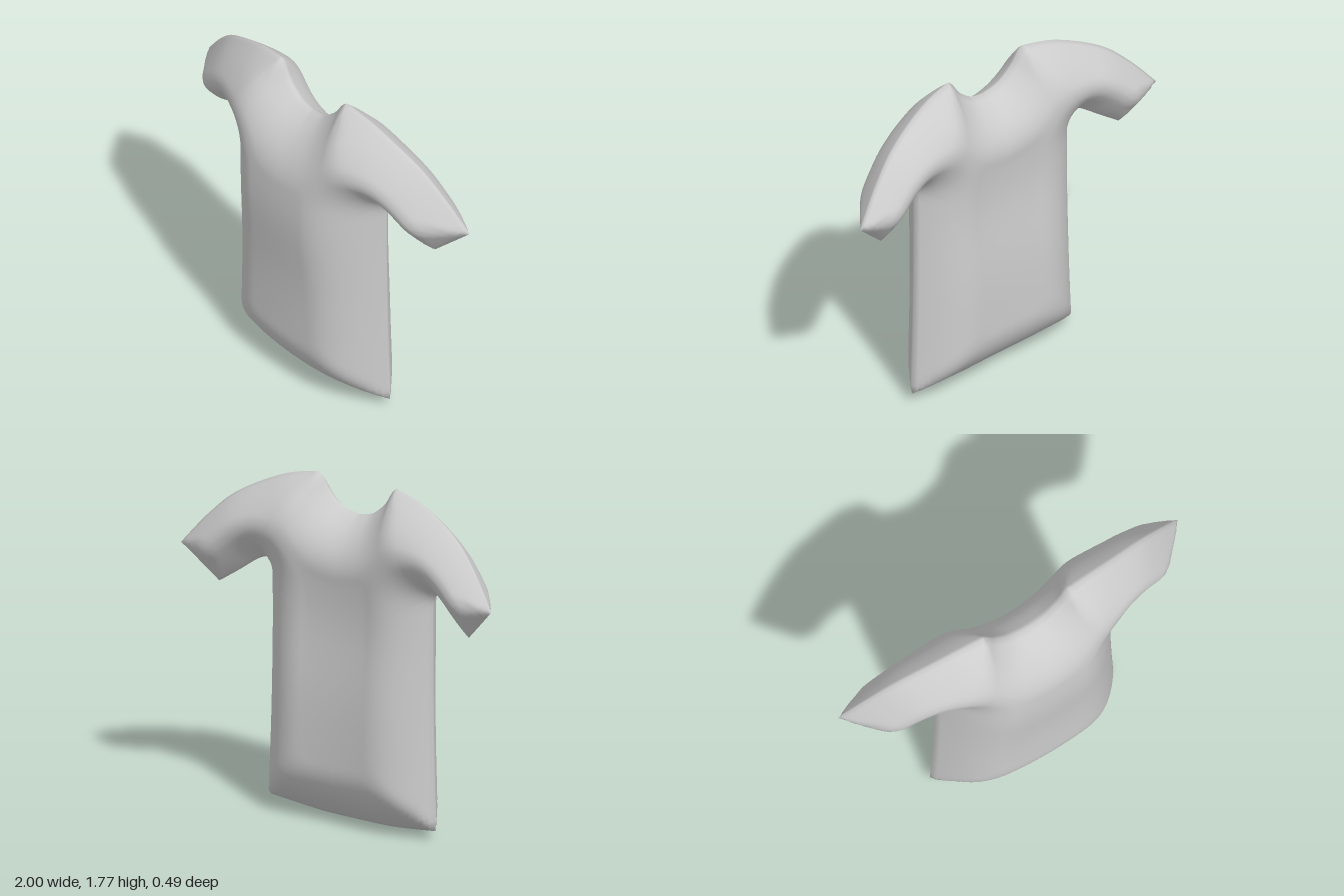
import * as THREE from 'three';
import { mergeVertices } from 'three/addons/utils/BufferGeometryUtils.js';

const NU = 28, SIDE = 50, ARM = 26, SLEEVE = 28;

// Smooth run of n steps through a few outline points
const run = (pts, n) =>
  new THREE.SplineCurve(pts.map(([x, y]) => new THREE.Vector2(x, y))).getSpacedPoints(n);

// Outline of the left half, x >= 0
const armpit = [0.55, 1.28], peak = [0.25, 1.77], cuffTop = [1, 1.3], cuffLow = [0.805, 1.12];
const hem = run([[0, 0], [0.2, 0.005], [0.38, 0.025], [0.54, 0.05]], NU);
const side = run([[0.54, 0.05], [0.525, 0.45], [0.517, 0.85], [0.517, 1.15], [0.523, 1.245], armpit], SIDE);
const seam = run([armpit, peak], ARM);
const neck = run([[0, 1.59], [0.09, 1.61], [0.17, 1.67], [0.22, 1.74], peak], NU);
const shoulder = run([peak, [0.45, 1.725], [0.7, 1.605], [0.86, 1.465], cuffTop], SLEEVE);
const underarm = run([armpit, [0.6, 1.26], [0.7, 1.19], cuffLow], SLEEVE);
const cuff = run([cuffLow, cuffTop], ARM);
const outline = [hem, side, neck, shoulder, underarm, cuff];

// Distance from a point to the outline
function distance(x, y) {
  x = Math.abs(x);
  let best = Infinity;
  for (const line of outline) {
    for (let i = 1; i < line.length; i++) {
      const a = line[i - 1], dx = line[i].x - a.x, dy = line[i].y - a.y;
      const t = THREE.MathUtils.clamp(((x - a.x) * dx + (y - a.y) * dy) / (dx * dx + dy * dy), 0, 1);
      best = Math.min(best, Math.hypot(x - a.x - t * dx, y - a.y - t * dy));
    }
  }
  return best;
}

// Distance averaged over a small circle, to soften the ridges
function softDistance(x, y) {
  const d = distance(x, y);
  if (d < 1e-5) return 0;
  const r = 0.6 * Math.min(d, 0.08);
  let sum = d;
  for (let k = 0; k < 8; k++) {
    sum += distance(x + r * Math.cos(k * Math.PI / 4), y + r * Math.sin(k * Math.PI / 4));
  }
  return sum / 9;
}

// Puffed thickness and the backward sweep of the sleeves
function inflate(p) {
  const s = Math.min(softDistance(p.x, p.y) / 0.32, 1);
  const half = 0.215 * (1 - Math.pow(1 - s, 2.2));
  const chest = 0.035 * Math.exp(-(((p.y - 1.1) / 0.35) ** 2)) * s;
  return { x: p.x, y: p.y, mid: chest - 0.18 * p.x * p.x, half };
}

// Torso grid, blended between hem, side, neckline and centre line
function torsoGrid() {
  const right = [...side, ...seam.slice(1)], n = right.length - 1;
  const mix = (u, v, key) => {
    const c0 = hem[0][key], c1 = neck[0][key], e0 = hem[NU][key], e1 = neck[NU][key];
    const i = Math.round(u * NU), j = Math.round(v * n);
    return (1 - v) * hem[i][key] + v * neck[i][key]
      + (1 - u) * (c0 + (c1 - c0) * v) + u * right[j][key]
      - (1 - u) * ((1 - v) * c0 + v * c1) - u * ((1 - v) * e0 + v * e1);
  };
  return right.map((_, j) => hem.map((_, i) =>
    inflate({ x: mix(i / NU, j / n, 'x'), y: mix(i / NU, j / n, 'y') })));
}

// Sleeve grid, ruled from the underarm to the shoulder line
function sleeveGrid() {
  return seam.map((_, j) => underarm.map((p, i) =>
    inflate(p.clone().lerp(shoulder[i], j / ARM))));
}

// Front and back faces on both halves, welded into one smooth skin
function skin(grids) {
  const pos = [], index = [];
  for (const grid of grids) for (const mirror of [1, -1]) for (const face of [1, -1]) {
    const base = pos.length / 3, w = grid[0].length;
    for (const row of grid) for (const p of row) {
      pos.push(mirror * p.x, p.y, p.mid + face * p.half);
    }
    for (let j = 0; j < grid.length - 1; j++) for (let i = 0; i < w - 1; i++) {
      const a = base + j * w + i, b = a + 1, c = b + w, d = a + w;
      if (mirror * face > 0) index.push(a, b, c, a, c, d);
      else index.push(a, c, b, a, d, c);
    }
  }
  let geo = new THREE.BufferGeometry();
  geo.setAttribute('position', new THREE.Float32BufferAttribute(pos, 3));
  geo.setIndex(index);
  geo = mergeVertices(geo, 1e-4);
  geo.computeVertexNormals();
  return geo;
}

export function createModel() {
  const group = new THREE.Group();
  group.name = 'shirt';
  const cloth = new THREE.MeshStandardMaterial({ color: 0xcccccc });
  cloth.name = 'light grey cloth';
  const shirt = new THREE.Mesh(skin([torsoGrid(), sleeveGrid()]), cloth);
  shirt.name = 'shirtBodyAndSleeves';
  group.add(shirt);
  return group;
}
